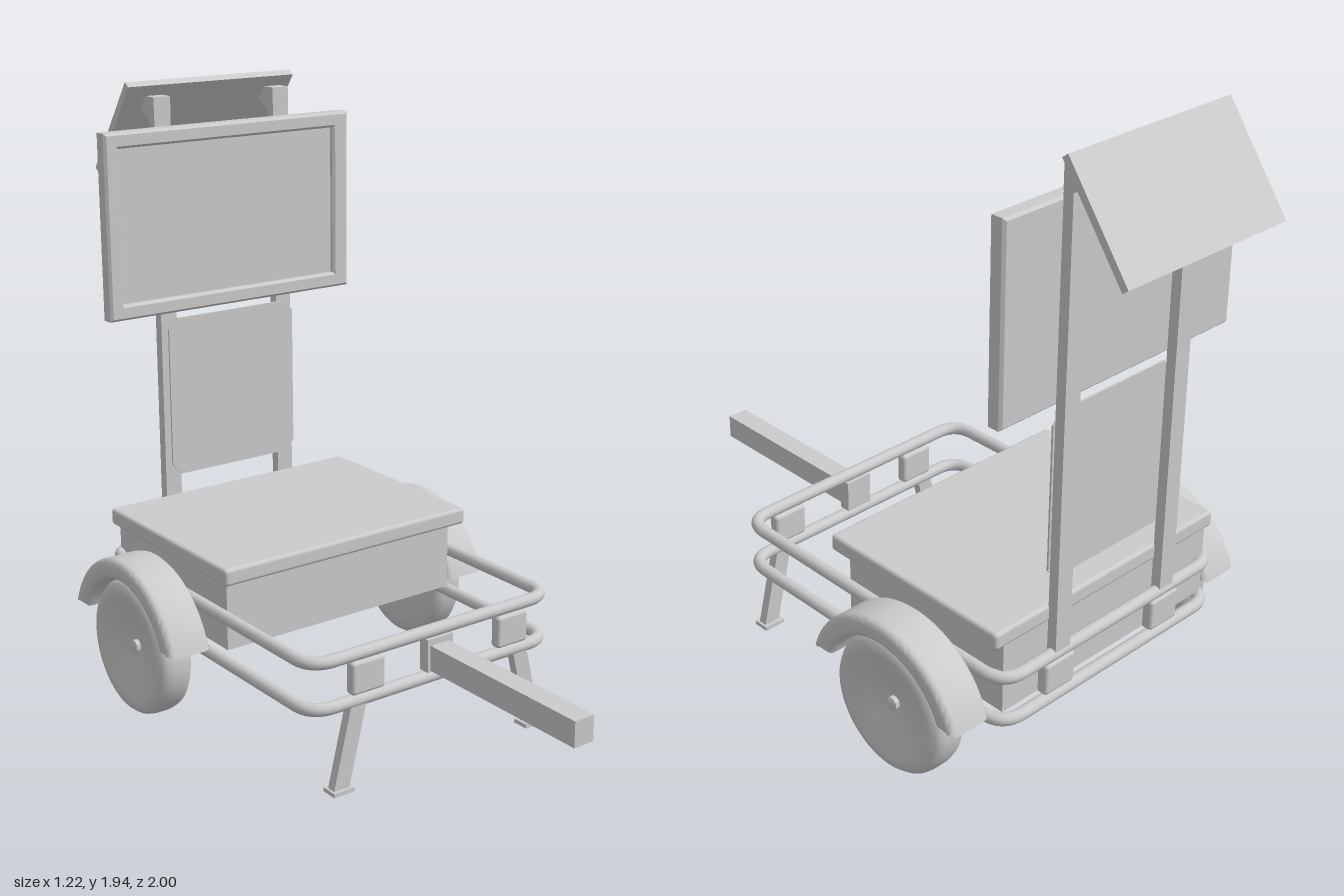
import * as THREE from 'three';
import { RoundedBoxGeometry } from 'three/addons/geometries/RoundedBoxGeometry.js';
import { toCreasedNormals } from 'three/addons/utils/BufferGeometryUtils.js';

const grey = new THREE.MeshStandardMaterial({ color: 0xcccccc });

export function createModel() {
  const root = new THREE.Group();

  const add = (name, geometry, x = 0, y = 0, z = 0) => {
    const mesh = new THREE.Mesh(geometry, grey);
    mesh.name = name;
    mesh.position.set(x, y, z);
    root.add(mesh);
    return mesh;
  };
  // Box given by its extents; r rounds the edges
  const box = (name, x0, x1, y0, y1, z0, z1, r = 0) => {
    const s = [x1 - x0, y1 - y0, z1 - z0];
    const geometry = r ? new RoundedBoxGeometry(...s, 2, r) : new THREE.BoxGeometry(...s);
    return add(name, geometry, (x0 + x1) / 2, (y0 + y1) / 2, (z0 + z1) / 2);
  };
  const polygon = (pts) => new THREE.Shape(pts.map((p) => new THREE.Vector2(...p)));
  const extrude = (shape, depth, options = {}) =>
    new THREE.ExtrudeGeometry(shape, { depth, bevelEnabled: false, ...options });

  // Equipment box and lid
  box('equipmentBox', -0.435, 0.425, 0.3, 0.53, -0.74, -0.1);
  box('lid', -0.465, 0.46, 0.525, 0.58, -0.745, -0.055, 0.012);

  // Two rounded rail loops around the trailer
  const railLoop = () => {
    const x0 = -0.455, x1 = 0.445, z0 = -0.76, z1 = 0.365, c = 0.08;
    const corners = [[x0, z0], [x1, z0], [x1, z1], [x0, z1]];
    const path = new THREE.CurvePath();
    const toward = (a, b) => {
      const v = new THREE.Vector3(b[0] - a[0], 0, b[1] - a[1]).setLength(c);
      return v.add(new THREE.Vector3(a[0], 0, a[1]));
    };
    corners.forEach((p, i) => {
      const prev = corners[(i + 3) % 4], next = corners[(i + 1) % 4];
      const start = toward(p, prev), end = toward(p, next);
      path.add(new THREE.QuadraticBezierCurve3(start, new THREE.Vector3(p[0], 0, p[1]), end));
      path.add(new THREE.LineCurve3(end, toward(next, p)));
    });
    return new THREE.TubeGeometry(path, 240, 0.02, 12, true);
  };
  for (const y of [0.275, 0.42]) add('rail', railLoop(), 0, y, 0);

  // Blocks joining the rails, and the tow bar
  for (const x of [-0.26, 0.29]) box('frontBlock', x - 0.06, x + 0.06, 0.295, 0.4, 0.345, 0.383, 0.012);
  box('towBarMount', -0.045, 0.05, 0.295, 0.4, 0.345, 0.383);
  box('towBar', -0.035, 0.035, 0.3, 0.38, 0.365, 1);
  for (const x of [-0.225, 0.225]) box('rearBlock', x - 0.06, x + 0.06, 0.295, 0.4, -0.775, -0.735, 0.012);

  // Splayed support legs with feet
  for (const side of [-1, 1]) {
    const px = (x) => 0.0125 + side * x;
    const pts = [[px(0.345), 0.01], [px(0.4), 0.01], [px(0.335), 0.275], [px(0.28), 0.275]];
    add('supportLeg', extrude(polygon(side > 0 ? pts : pts.reverse()), 0.03), 0, 0, 0.35);
    box('foot', px(0.37) - 0.037, px(0.37) + 0.037, 0, 0.013, 0.337, 0.392);
  }

  // Wheels: dished faces, round shoulders and a small hub cap
  const wheelProfile = [
    [0, -0.055], [0.17, -0.055], [0.2, -0.052], [0.214, -0.042], [0.22, -0.02],
    [0.22, 0.02], [0.216, 0.04], [0.204, 0.055], [0.18, 0.06], [0.165, 0.056],
    [0.1, 0.04], [0.06, 0.027], [0.02, 0.02], [0.02, 0.034], [0.014, 0.038], [0, 0.038],
  ].map((p) => new THREE.Vector2(...p));
  // Mudguard: arch with level ends
  const arch = new THREE.Shape();
  const R = 0.31, r = 0.243, cut = 0.088;
  const aOut = Math.asin(cut / R), aIn = Math.asin(cut / r);
  arch.absarc(0, 0, R, aOut, Math.PI - aOut, false);
  arch.absarc(0, 0, r, Math.PI - aIn, aIn, true);
  for (const side of [-1, 1]) {
    const wheel = toCreasedNormals(new THREE.LatheGeometry(wheelProfile, 48), 0.7);
    wheel.rotateZ((-side * Math.PI) / 2);
    add('wheel', wheel, side * 0.535 - 0.003, 0.23, -0.435);

    const guard = extrude(arch, 0.105, {
      curveSegments: 32, bevelEnabled: true, bevelSize: 0.02, bevelThickness: 0.02,
      bevelOffset: -0.02, bevelSegments: 3,
    });
    guard.translate(0, 0, -0.0525).rotateY(Math.PI / 2);
    add('mudguard', toCreasedNormals(guard, 0.7), side * 0.54 - 0.003, 0.21, -0.435);
  }

  // Mast posts with solar panel brackets
  for (const x of [-0.225, 0.222]) {
    box('mastPost', x - 0.029, x + 0.029, 0.41, 1.87, -0.775, -0.742);
    const profile = polygon([[0.742, 1.82], [0.775, 1.82], [0.825, 1.85], [0.79, 1.89], [0.742, 1.89]]);
    const bracket = extrude(profile, 0.06);
    bracket.translate(0, 0, -0.03).rotateY(Math.PI / 2);
    add('panelBracket', bracket, x, 0, 0);
  }

  // Tilted solar panel
  const solar = add('solarPanel', new THREE.BoxGeometry(0.62, 0.36, 0.024), -0.018, 1.785, -0.885);
  solar.rotation.x = Math.atan2(0.21, 0.29);

  // Message board: raised frame around a recessed screen
  const frame = polygon([[-0.465, 1.21], [0.455, 1.21], [0.455, 1.8], [-0.465, 1.8]]);
  frame.holes.push(polygon([[-0.415, 1.26], [-0.415, 1.75], [0.395, 1.75], [0.395, 1.26]]));
  const bevel = { bevelEnabled: true, bevelSize: 0.008, bevelThickness: 0.008, bevelOffset: -0.008, bevelSegments: 1 };
  add('boardFrame', extrude(frame, 0.037, bevel), 0, 0, -0.732);
  box('boardScreen', -0.43, 0.42, 1.25, 1.76, -0.74, -0.705);

  // Thin lower plate with clipped corners
  const x0 = -0.235, x1 = 0.248, y0 = 0.65, y1 = 1.18, c = 0.035;
  const plate = polygon([
    [x0 + c, y0], [x1 - c, y0], [x1, y0 + c], [x1, y1 - c],
    [x1 - c, y1], [x0 + c, y1], [x0, y1 - c], [x0, y0 + c],
  ]);
  add('lowerPlate', extrude(plate, 0.006), 0, 0, -0.733);

  return root;
}
